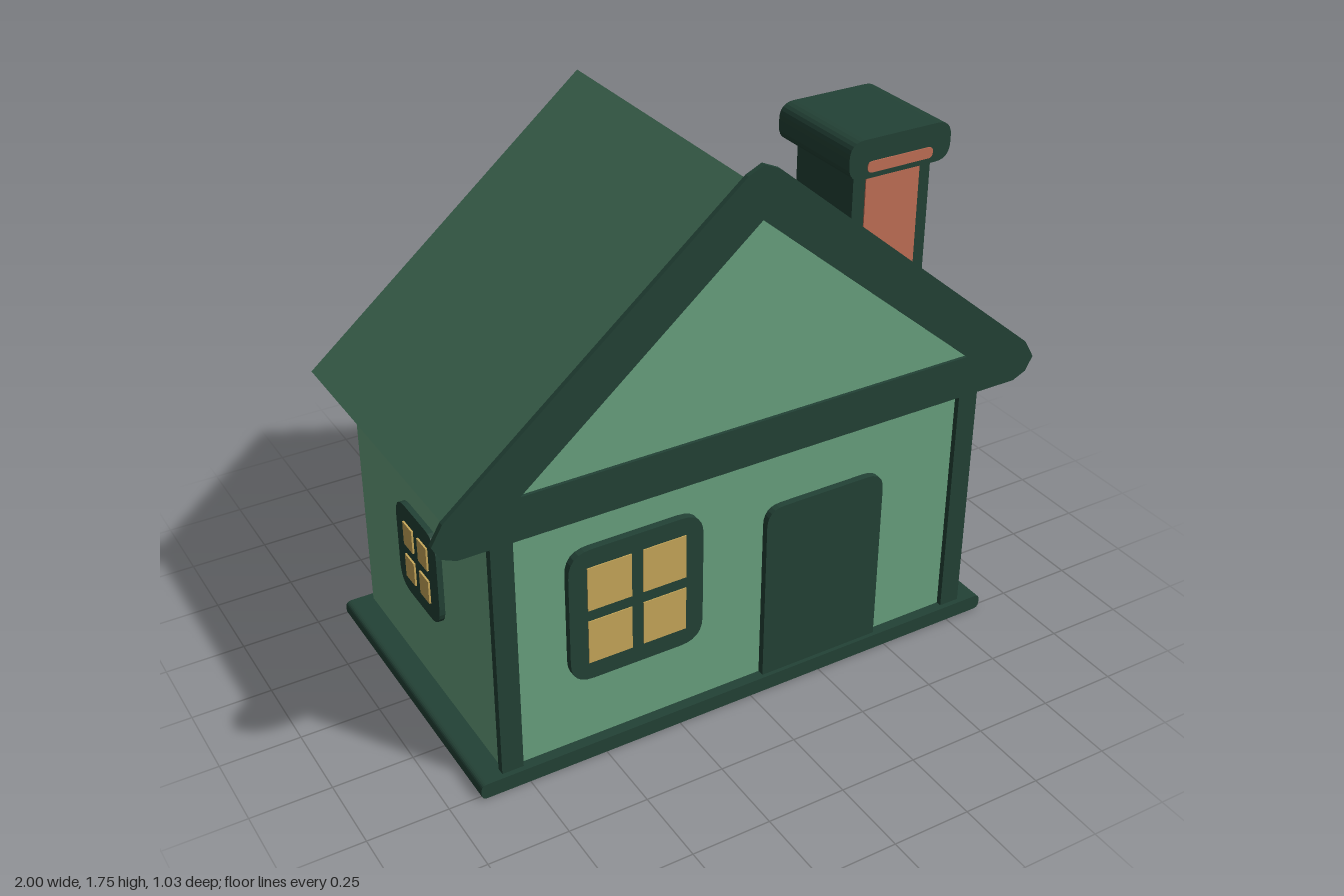
import * as THREE from 'three';

const mat = (name, color, side = THREE.FrontSide) => {
  const m = new THREE.MeshStandardMaterial({ color, side });
  m.name = name;
  return m;
};

export function createModel() {
  const house = new THREE.Group();
  house.name = 'house';
  const trim = mat('dark green trim', 0x234236);
  const wall = mat('light green wall', 0x69a27f);
  const roofGreen = mat('roof green', 0x3e6852);
  const glass = mat('yellow glass', 0xc9a95a);
  const brick = mat('red brick', 0xc27057);

  const add = (parent, name, geometry, material) => {
    const mesh = new THREE.Mesh(geometry, material);
    mesh.name = name;
    parent.add(mesh);
    return mesh;
  };

  // Box given by its limits on each axis
  const box = (parent, name, material, [x0, x1], [y0, y1], [z0, z1]) => {
    const g = new THREE.BoxGeometry(x1 - x0, y1 - y0, z1 - z0);
    g.translate((x0 + x1) / 2, (y0 + y1) / 2, (z0 + z1) / 2);
    return add(parent, name, g, material);
  };

  // Rectangle with separate top and bottom corner radii
  const roundedRect = (x0, x1, y0, y1, top, bottom = top) => {
    const s = new THREE.Shape();
    s.moveTo(x0 + bottom, y0);
    s.lineTo(x1 - bottom, y0);
    if (bottom) s.quadraticCurveTo(x1, y0, x1, y0 + bottom);
    s.lineTo(x1, y1 - top);
    s.quadraticCurveTo(x1, y1, x1 - top, y1);
    s.lineTo(x0 + top, y1);
    s.quadraticCurveTo(x0, y1, x0, y1 - top);
    s.lineTo(x0, y0 + bottom);
    if (bottom) s.quadraticCurveTo(x0, y0, x0 + bottom, y0);
    return s;
  };

  const polygon = (points) => new THREE.Shape(points.map(([x, y]) => new THREE.Vector2(x, y)));

  // Shape extruded along z between two limits
  const slab = (parent, name, material, shape, z0, z1) => {
    const g = new THREE.ExtrudeGeometry(shape, { depth: z1 - z0, bevelEnabled: false, curveSegments: 6 });
    g.translate(0, 0, z0);
    return add(parent, name, g, material);
  };

  // Base and walls
  slab(house, 'base', trim, roundedRect(-0.905, 0.88, 0, 0.05, 0.02), -0.49, 0.515);
  box(house, 'body', wall, [-0.82, 0.79], [0.05, 0.91], [-0.465, 0.453]);
  box(house, 'frontWall', wall, [-0.8, 0.77], [0.05, 0.91], [0.473, 0.48]);
  box(house, 'leftPost', trim, [0.735, 0.803], [0.05, 0.91], [0.473, 0.498]);
  box(house, 'rightPost', trim, [-0.83, -0.762], [0.05, 0.91], [0.473, 0.498]);
  slab(house, 'door', trim, roundedRect(0.05, 0.465, 0.05, 0.65, 0.06, 0), 0.478, 0.502);

  // Roof prism
  const roof = polygon([[-0.928, 0.9], [0.925, 0.9], [-0.003, 1.68]]);
  slab(house, 'roof', roofGreen, roof, -0.515, 0.495);

  // Front gable panel inside its triangular frame
  const inner = [[-0.74, 0.97], [0.74, 0.97], [0, 1.592]];
  slab(house, 'gablePanel', wall, polygon(inner), 0.494, 0.501);
  const half = [[0.93, 0.835], [0.975, 0.855], [1, 0.9], [0.965, 0.96], [0.05, 1.727]];
  const mirrored = half.map(([x, y]) => [-x, y]).reverse();
  const frame = polygon([...half, [0, 1.75], ...mirrored]);
  frame.holes.push(new THREE.Path(inner.map(([x, y]) => new THREE.Vector2(x, y))));
  slab(house, 'gableFrame', trim, frame, 0.495, 0.511);

  // Window facing +z at the origin: rounded frame and four panes
  const makeWindow = (name, w, h, r, depth, pane, bar, lift) => {
    const g = new THREE.Group();
    g.name = name;
    slab(g, 'windowFrame', trim, roundedRect(-w / 2, w / 2, -h / 2, h / 2, r), 0, depth);
    for (const sx of [-1, 1]) {
      for (const sy of [-1, 1]) {
        const p = add(g, 'windowPane', new THREE.BoxGeometry(pane[0], pane[1], 0.008), glass);
        p.position.set(sx * (bar + pane[0]) / 2, sy * (bar + pane[1]) / 2, depth + lift - 0.004);
      }
    }
    house.add(g);
    return g;
  };
  makeWindow('frontWindow', 0.435, 0.445, 0.075, 0.025, [0.141, 0.145], 0.037, 0.003)
    .position.set(-0.386, 0.502, 0.478);
  const small = (name, depth, lift) =>
    makeWindow(name, 0.283, 0.312, 0.07, depth, [0.064, 0.079], 0.037, lift);
  const leftWindow = small('leftWindow', 0.025, 0.003);
  leftWindow.position.set(0.787, 0.48, -0.005);
  leftWindow.rotation.y = Math.PI / 2;
  const rightWindow = small('rightWindow', 0.02, 0.006);
  rightWindow.position.set(-0.818, 0.482, -0.005);
  rightWindow.rotation.y = -Math.PI / 2;
  const backWindow = small('backWindow', 0.042, 0.006);
  backWindow.position.set(0, 0.515, -0.464);
  backWindow.rotation.y = Math.PI;

  // Chimney with brick faces and a rounded cap
  const chimney = new THREE.Group();
  chimney.name = 'chimney';
  house.add(chimney);
  box(chimney, 'stack', trim, [0.425, 0.695], [1.095, 1.56], [0.045, 0.325]);
  box(chimney, 'frontBrick', brick, [0.467, 0.655], [1.13, 1.553], [0.323, 0.329]);
  box(chimney, 'backBrick', brick, [0.467, 0.655], [1.13, 1.553], [0.038, 0.046]);
  slab(chimney, 'cap', trim, roundedRect(0.382, 0.735, 1.553, 1.672, 0.05), 0.008, 0.36);
  slab(chimney, 'capStripe', brick, roundedRect(0.445, 0.672, 1.57, 1.604, 0.016), 0.357, 0.363);

  return house;
}
